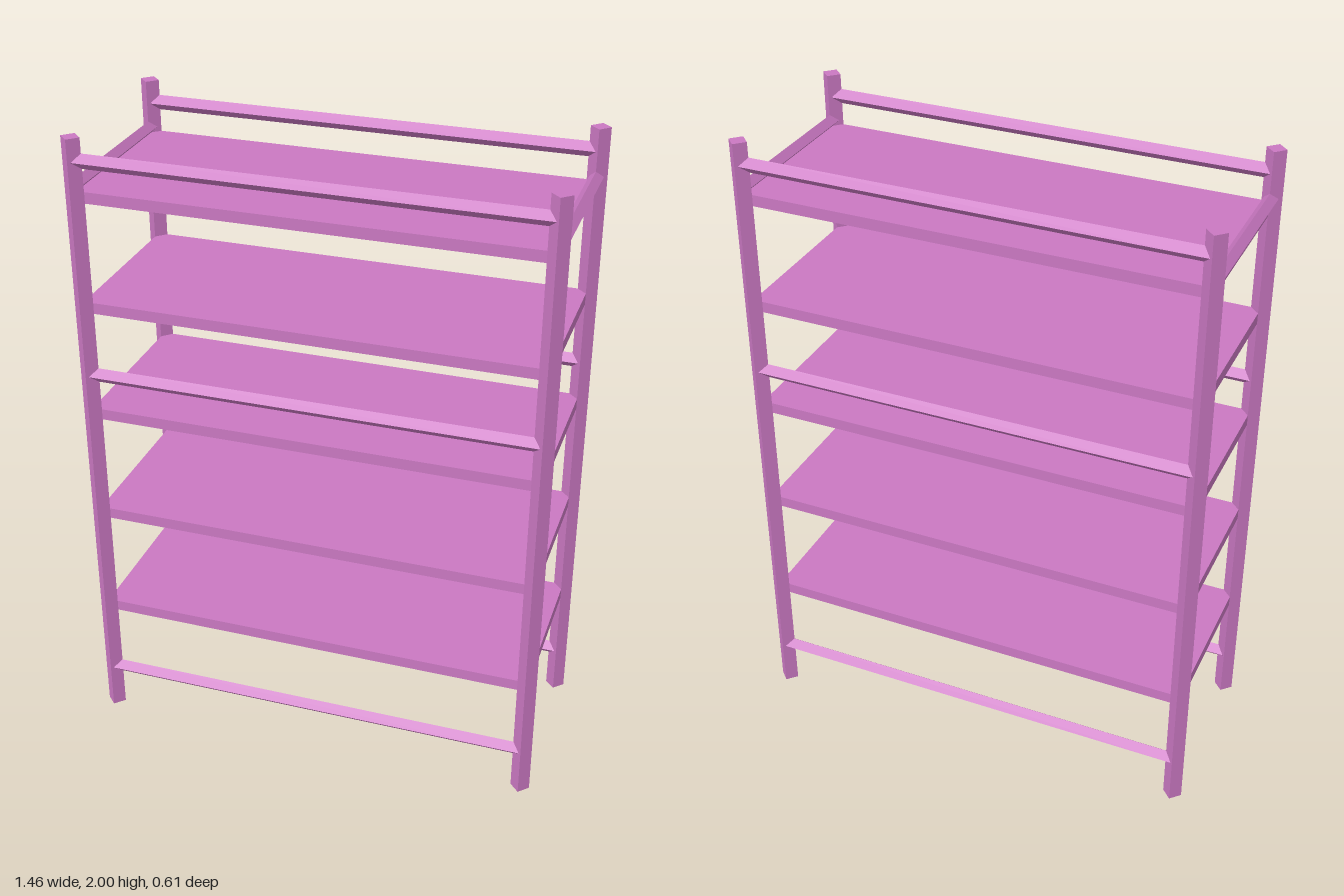
import * as THREE from 'three';

const X = 0.7, Z = 0.275; // post axes

export function createModel() {
  const model = new THREE.Group();
  model.name = 'shelfRack';
  const material = new THREE.MeshStandardMaterial({ color: 0xca78c2, flatShading: true });

  const add = (name, geometry, x, y, z) => {
    const mesh = new THREE.Mesh(geometry, material);
    mesh.name = name;
    mesh.position.set(x, y, z);
    model.add(mesh);
  };

  // Four-sided bars set on edge
  const bar = (radius, length) => new THREE.CylinderGeometry(radius, radius, length, 4);
  const postGeo = bar(0.03, 2);
  const longRailGeo = bar(0.023, 2 * X).rotateZ(Math.PI / 2);
  const sideRailGeo = bar(0.021, 2 * Z).rotateX(Math.PI / 2);
  const shelfGeo = new THREE.BoxGeometry(2 * X, 0.035, 2 * Z);

  for (const sz of [-1, 1]) {
    // Corner posts
    for (const sx of [-1, 1]) add('post', postGeo, sx * X, 1, sz * Z);
    // Long rails along front and back
    for (const y of [0.15, 1.25, 1.93]) add(sz > 0 ? 'frontRail' : 'backRail', longRailGeo, 0, y, sz * Z);
  }

  // Short rails at the ends of the top shelf
  for (const sx of [-1, 1]) add('sideRail', sideRailGeo, sx * X, 1.853, 0);

  // Shelves
  for (const y of [0.396, 0.755, 1.114, 1.472, 1.82]) add('shelf', shelfGeo, 0, y, 0);

  return model;
}
